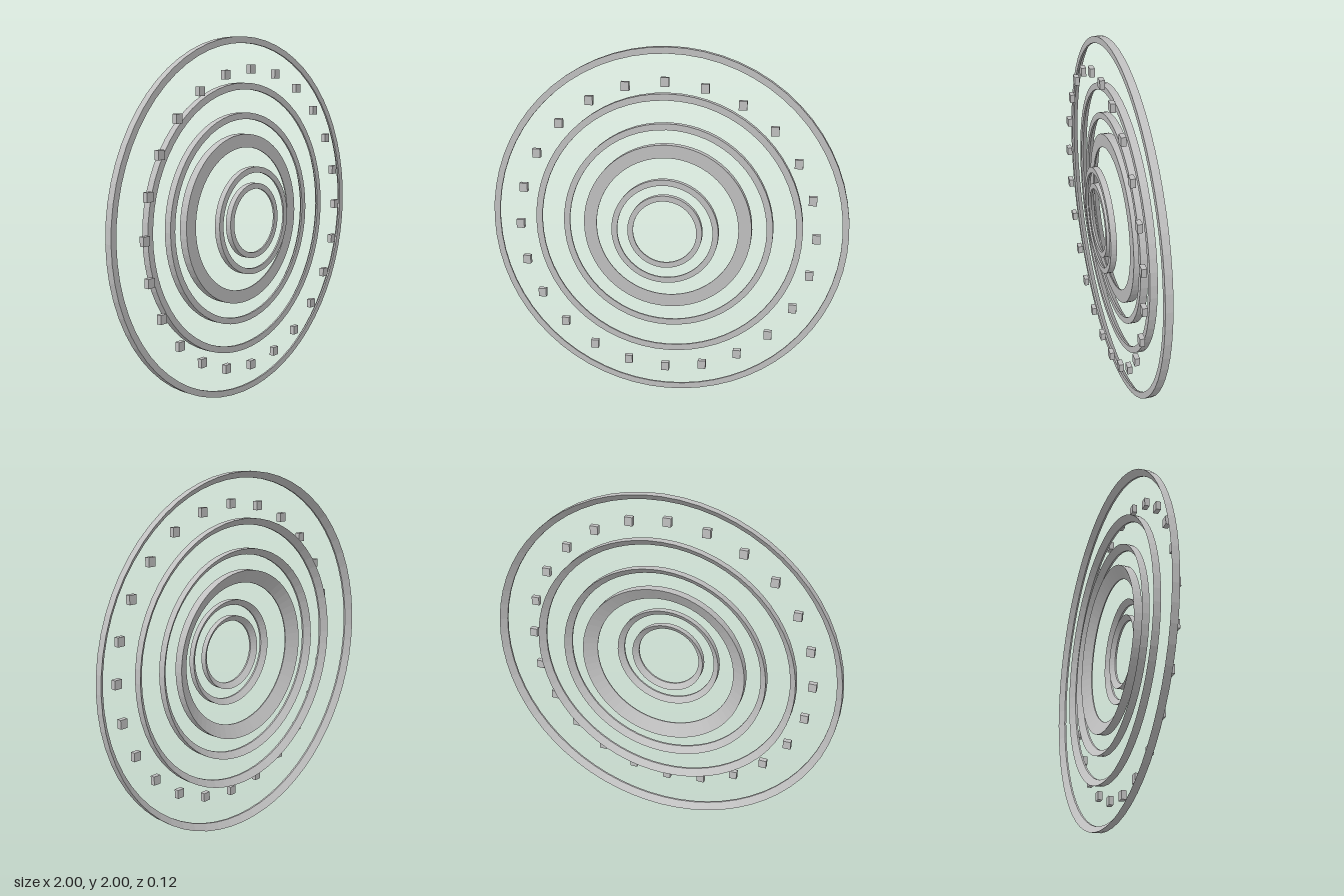
import * as THREE from 'three';

export function createModel() {
  const model = new THREE.Group();
  const grey = new THREE.MeshStandardMaterial({ color: 0xc0c0c0, flatShading: true });
  grey.name = 'grey';

  // Ring around the z axis: flat front, straight outer wall, back sloping in to a thin inner lip
  function ring(name, outer, inner, back, front, lip) {
    const profile = [
      [outer, back], [outer, front], [inner, front], [inner, front - lip], [outer, back],
    ].map(([r, z]) => new THREE.Vector2(r, z));
    const geometry = new THREE.LatheGeometry(profile, 64);
    geometry.rotateX(Math.PI / 2);
    const mesh = new THREE.Mesh(geometry, grey);
    mesh.name = name;
    mesh.position.y = 1;
    model.add(mesh);
  }

  // Rear rings
  ring('outerRing', 1.0, 0.965, -0.058, -0.018, 0.01);
  ring('secondRing', 0.752, 0.716, -0.058, -0.018, 0.01);
  ring('thirdRing', 0.59, 0.555, -0.058, -0.018, 0.01);
  ring('broadRing', 0.473, 0.4, -0.061, -0.015, 0.006);

  // Raised front rings
  ring('raisedRing', 0.298, 0.266, 0.028, 0.061, 0.01);
  ring('innerRing', 0.208, 0.177, 0.028, 0.061, 0.01);

  // Circle of upright blocks
  const blocks = new THREE.Group();
  blocks.name = 'markerBlocks';
  const block = new THREE.BoxGeometry(0.044, 0.049, 0.027);
  for (let i = 0; i < 24; i++) {
    const a = (i / 24) * Math.PI * 2;
    const mesh = new THREE.Mesh(block, grey);
    mesh.name = 'markerBlock';
    mesh.position.set(0.826 * Math.sin(a), 1 + 0.826 * Math.cos(a), 0.035);
    blocks.add(mesh);
  }
  model.add(blocks);

  return model;
}
